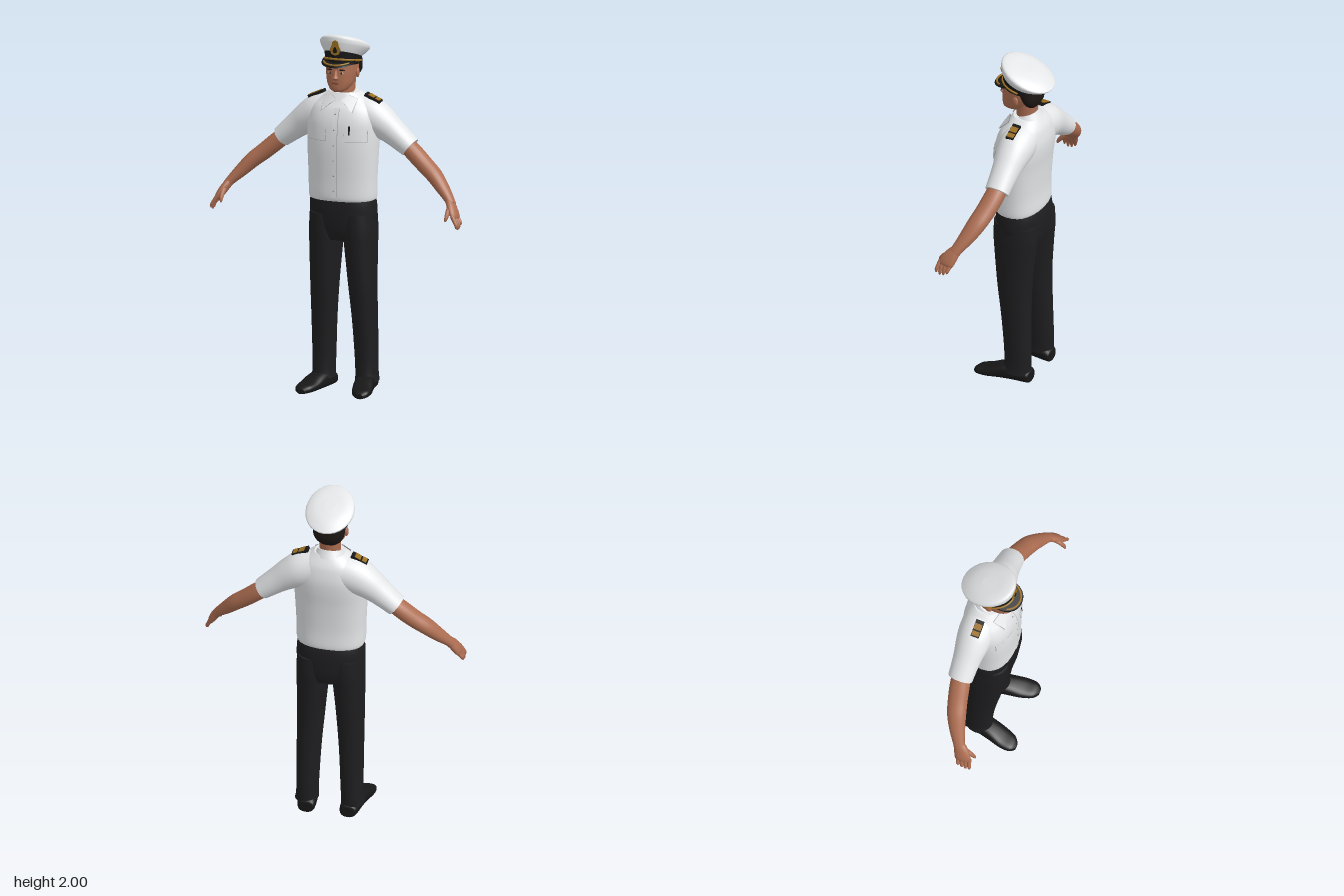
import * as THREE from 'three';

const V = (x, y, z) => new THREE.Vector3(x, y, z);
const flat = (name, color, side = THREE.FrontSide) => {
  const m = new THREE.MeshStandardMaterial({ color, side });
  m.name = name;
  return m;
};

// Catmull-Rom interpolation of rows of numbers
function smooth(keys, steps = 5) {
  const out = [], last = keys.length - 1;
  for (let i = 0; i < last; i++) {
    const [a, b, c, d] = [keys[Math.max(i - 1, 0)], keys[i], keys[i + 1], keys[Math.min(i + 2, last)]];
    for (let k = 0; k < steps; k++) {
      const t = k / steps;
      out.push(b.map((p, j) => p + 0.5 * t * (c[j] - a[j] + t * (2 * a[j] - 5 * p + 4 * c[j] - d[j] + t * (3 * (p - c[j]) + d[j] - a[j])))));
    }
  }
  out.push(keys[last]);
  return out;
}

// Closed skin over rings {c, a, b}, where a x b points along the loft
function loft(rings, n = 2, seg = 28) {
  const pos = [], idx = [];
  const zero = V(0, 0, 0), f = rings[0], l = rings[rings.length - 1];
  const all = [{ c: f.c, a: zero, b: zero }, f, ...rings, l, { c: l.c, a: zero, b: zero }];
  const pw = (v) => Math.sign(v) * Math.abs(v) ** (2 / n);
  all.forEach(({ c, a, b }, i) => {
    for (let j = 0; j < seg; j++) {
      const t = (j / seg) * Math.PI * 2;
      pos.push(...c.clone().addScaledVector(a, pw(Math.cos(t))).addScaledVector(b, pw(Math.sin(t))).toArray());
      if (i === all.length - 1) continue;
      const A = i * seg + j, B = i * seg + ((j + 1) % seg);
      if (i !== 1 && i !== all.length - 3) idx.push(A, B, A + seg, B, B + seg, A + seg);
    }
  });
  const g = new THREE.BufferGeometry();
  g.setAttribute('position', new THREE.Float32BufferAttribute(pos, 3));
  g.setIndex(idx);
  g.computeVertexNormals();
  return g;
}

// Upright loft; rows are [y, centre x, half width, front z, back z, tilt]
const column = (keys, n, s = 1) => loft(smooth(keys).map(([y, x, w, f, b, tilt = 0]) => {
  const h = (f - b) / 2;
  return { c: V(x * s, y, (f + b) / 2), a: V(w, 0, 0), b: V(0, -tilt * h, -h) };
}), n);

// Limb along a path; rows are [x, y, z, thickness, breadth], s mirrors it
function limb(keys, s, seg = 20) {
  const rows = smooth(keys), pts = rows.map((r) => V(r[0] * s, r[1], r[2]));
  return loft(rows.map((r, i) => {
    const t = pts[Math.min(i + 1, pts.length - 1)].clone().sub(pts[Math.max(i - 1, 0)]).normalize();
    const b = V(0, 0, 1).addScaledVector(t, -t.z).normalize();
    return { c: pts[i], a: b.clone().cross(t).multiplyScalar(r[3]), b: b.multiplyScalar(r[4]) };
  }), 2, seg);
}

const TORSO = [
  [1.075, 0, .186, .118, -.137], [1.1, 0, .19, .124, -.142], [1.2, 0, .192, .124, -.14], [1.35, 0, .199, .127, -.15],
  [1.45, 0, .203, .122, -.162], [1.52, 0, .2, .112, -.165], [1.58, 0, .18, .09, -.156], [1.62, 0, .145, .062, -.143],
  [1.665, 0, .085, .035, -.115]];
const TORSO_ROWS = smooth(TORSO);

// Depth of the shirt front at a point
function chestZ(x, y) {
  let i = TORSO_ROWS.findIndex((r) => r[0] >= y);
  i = Math.max(i, 1);
  const p = TORSO_ROWS[i - 1], q = TORSO_ROWS[i], t = (y - p[0]) / (q[0] - p[0]);
  const [w, f, b] = [2, 3, 4].map((k) => p[k] + (q[k] - p[k]) * t);
  return (f + b) / 2 + ((f - b) / 2) * (1 - Math.min(Math.abs(x / w), .99) ** 2.3) ** (1 / 2.3);
}

// Lay a flat geometry on the shirt front
function onChest(g, lift) {
  const p = g.attributes.position;
  for (let i = 0; i < p.count; i++) p.setZ(i, chestZ(p.getX(i), p.getY(i)) + lift);
  g.computeVertexNormals();
  return g;
}
const chestRect = (x, y, w, h, lift) => onChest(new THREE.PlaneGeometry(w, h, 8, 8).translate(x, y, 0), lift);
const outline = (pts) => new THREE.Shape(pts.map(([x, y]) => new THREE.Vector2(x, y)));

export function createModel() {
  const model = new THREE.Group();
  const white = flat('white cloth', 0xe4e6e8, THREE.DoubleSide), seam = flat('seam grey', 0xa9adb0, THREE.DoubleSide);
  const trouser = flat('trouser black', 0x1e1e20), black = flat('polished black', 0x171717);
  const gold = flat('gold', 0x9c7022), skin = flat('skin', 0xad6e52), lip = flat('lip', 0x86493b);
  const hair = flat('hair', 0x1c1714), eye = flat('eye white', 0xc9bdb2);
  const add = (name, geo, mat) => {
    const m = new THREE.Mesh(geo, mat);
    m.name = name;
    model.add(m);
    return m;
  };
  const ball = (name, mat, x, y, z, a, b, c) => add(name, new THREE.SphereGeometry(1, 16, 12).scale(a, b, c).translate(x, y, z), mat);

  // Shirt body and collar
  add('shirt', column(TORSO, 2.3), white);
  add('collarStand', column([[1.62, 0, .098, .058, -.125, -.4], [1.655, 0, .078, .04, -.108, -.4], [1.672, 0, .068, .033, -.1, -.4]], 2), white);
  add('placket', chestRect(0, 1.345, .03, .49, .003), white);
  add('placketSeam', chestRect(.016, 1.345, .003, .49, .004), seam);
  for (let i = 0; i < 6; i++) ball('button', seam, -.004, 1.56 - i * .085, chestZ(0, 1.56 - i * .085) + .003, .005, .005, .003);

  // Trousers
  add('hips', column([[.85, 0, .11, .085, -.13], [.9, 0, .165, .103, -.143], [.96, 0, .186, .112, -.148], [1.04, 0, .187, .116, -.147], [1.1, 0, .178, .112, -.132]], 2.3), trouser);

  for (const s of [1, -1]) {
    // Pockets, collar points
    add('pocketEdge', chestRect(s * .112, 1.443, .122, .066, .003), seam);
    add('pocket', chestRect(s * .112, 1.447, .119, .068, .006), white);
    for (const [name, k, lift, mat] of [['collarEdge', .005, .008, seam], ['collarPoint', 0, .012, white]]) {
      const pts = [[.012, 1.632], [.05, 1.658], [.1, 1.64], [.088 + k, 1.572 - k], [.045, 1.612 - k]];
      add(name, onChest(new THREE.ShapeGeometry(outline(pts.map(([x, y]) => [x * s, y]))), lift), mat);
    }

    // Shoulder boards
    const board = new THREE.Group();
    board.name = 'shoulderBoard';
    const base = new THREE.Mesh(new THREE.BoxGeometry(.096, .016, .046), black);
    base.name = 'boardBase';
    board.add(base);
    [[-.012, .034], [.027, .026]].forEach(([x, w]) => {
      const bar = new THREE.Mesh(new THREE.BoxGeometry(w, .004, .042).translate(s * x, .009, 0), gold);
      bar.name = 'boardBar';
      board.add(bar);
    });
    board.position.set(s * .165, 1.634, -.04);
    board.rotation.z = -s * .42;
    model.add(board);

    // Sleeve, arm, hand
    add('sleeve', limb([[.07, 1.555, -.05, .1, .1], [.15, 1.53, -.052, .103, .1], [.21, 1.498, -.053, .09, .092], [.28, 1.448, -.055, .073, .078], [.375, 1.372, -.056, .058, .069]], s, 28), white);
    add('arm', limb([[.33, 1.405, -.056, .045, .052], [.4, 1.345, -.048, .048, .056], [.47, 1.285, -.033, .046, .055], [.53, 1.236, -.015, .043, .053], [.585, 1.18, .01, .036, .045], [.637, 1.125, .04, .026, .034], [.655, 1.1, .053, .024, .033]], s), skin);
    add('palm', limb([[.643, 1.118, .045, .022, .03], [.667, 1.08, .068, .023, .042], [.688, 1.045, .084, .019, .045], [.696, 1.027, .088, .011, .038]], s), skin);
    for (let i = 0; i < 4; i++) {
      const z = .056 + i * .022, d = [.018, .004, 0, .01][i];
      add('finger', limb([[.685, 1.05, z, .011, .011], [.703, 1.02, z + .006, .0105, .011], [.713, .995 + d * .6, z + .01, .009, .01], [.714, .975 + d, z + .011, .005, .005]], s, 10), skin);
    }
    add('thumb', limb([[.655, 1.09, .08, .014, .016], [.657, 1.065, .115, .013, .014], [.656, 1.04, .136, .01, .011], [.654, 1.022, .144, .005, .005]], s, 10), skin);

    // Leg and shoe
    add('leg', column([[.055, .128, .064, .035, -.12], [.1, .125, .06, .03, -.122], [.2, .123, .062, .032, -.122], [.4, .118, .067, .052, -.118], [.6, .11, .075, .08, -.12], [.8, .102, .085, .1, -.135], [.9, .098, .09, .108, -.144], [1, .095, .088, .108, -.142]], 2.2, s), trouser);
    add('shoe', loft(smooth([[-.125, .118, .028, .05], [-.113, .118, .048, .072], [-.03, .127, .056, .095], [.04, .14, .058, .085], [.11, .156, .058, .057], [.165, .166, .046, .043], [.19, .17, .02, .026]]).map(([z, x, w, h]) => (
      { c: V(x * s, h / 2, z), a: V(w, 0, 0), b: V(0, h / 2, 0) })), 2.6), black);

    // Ears, eyes, brows
    ball('ear', skin, s * .086, 1.778, -.008, .009, .027, .018);
    ball('eye', eye, s * .033, 1.79, .0985, .012, .005, .005);
    ball('iris', hair, s * .033, 1.79, .1015, .0055, .005, .004);
    ball('brow', hair, s * .034, 1.808, .1, .019, .004, .005);
  }

  // Pen in the left pocket
  add('pen', chestRect(.083, 1.477, .01, .05, .009), black);

  // Head
  add('neck', column([[1.6, 0, .066, .025, -.1], [1.66, 0, .058, .025, -.092], [1.77, 0, .062, .02, -.1]], 2), skin);
  add('head', column([[1.682, 0, .03, .095, .02], [1.695, 0, .05, .106, -.015], [1.725, 0, .07, .108, -.055], [1.765, 0, .08, .108, -.088], [1.8, 0, .085, .106, -.105], [1.86, 0, .087, .1, -.112]], 2.25), skin);
  add('nose', column([[1.752, 0, .014, .115, .09], [1.762, 0, .018, .13, .09], [1.775, 0, .013, .124, .09], [1.805, 0, .008, .11, .09]], 2), skin);
  ball('mouth', lip, 0, 1.734, .106, .024, .006, .006);
  add('hair', column([[1.735, 0, .045, -.05, -.1], [1.755, 0, .068, -.035, -.114], [1.79, 0, .086, -.018, -.124], [1.85, 0, .09, .02, -.122]], 2.2), hair);

  // Cap
  add('capCrown', column([[1.875, 0, .1, .106, -.12, .36], [1.9, 0, .124, .111, -.168, .35], [1.92, 0, .134, .112, -.19, .36], [1.938, 0, .126, .102, -.184, .42], [1.953, 0, .085, .05, -.14, .4], [1.96, 0, .03, -.01, -.075, .35]], 2), white);
  add('capBand', column([[1.828, 0, .094, .102, -.123, .06], [1.85, 0, .097, .104, -.122, .2], [1.88, 0, .099, .105, -.121, .36]], 2), black);
  add('capVisor', column([[1.849, 0, .094, .155, -.05, -.2], [1.857, 0, .092, .152, -.05, -.2]], 2.1), black);
  const arc = (rx, rz, zc, y, slope, span) => new THREE.CatmullRomCurve3(Array.from({ length: 15 }, (_, i) => {
    const t = (i / 7 - 1) * span;
    return V(Math.sin(t) * rx, y + slope * Math.cos(t), zc + Math.cos(t) * rz);
  }));
  add('chinStrap', new THREE.TubeGeometry(arc(.099, .115, -.009, 1.846, .022, 1.75), 40, .006, 8), gold);
  add('visorBraid', new THREE.TubeGeometry(arc(.083, .09, .053, 1.856, -.014, 1.1), 32, .0055, 8), gold);

  // Cap badge
  const badge = (k) => new THREE.ExtrudeGeometry(outline([[0, -.042], [.022, -.034], [.031, -.008], [.02, .012], [.015, .036], [0, .044], [-.015, .036], [-.02, .012], [-.031, -.008], [-.022, -.034]].map(([x, y]) => [x * k, y * k])), { depth: .007, bevelEnabled: false });
  add('badge', badge(1), gold).position.set(0, 1.932, .108);
  add('badgeCentre', badge(.4), black).position.set(0, 1.92, .11);
  return model;
}
